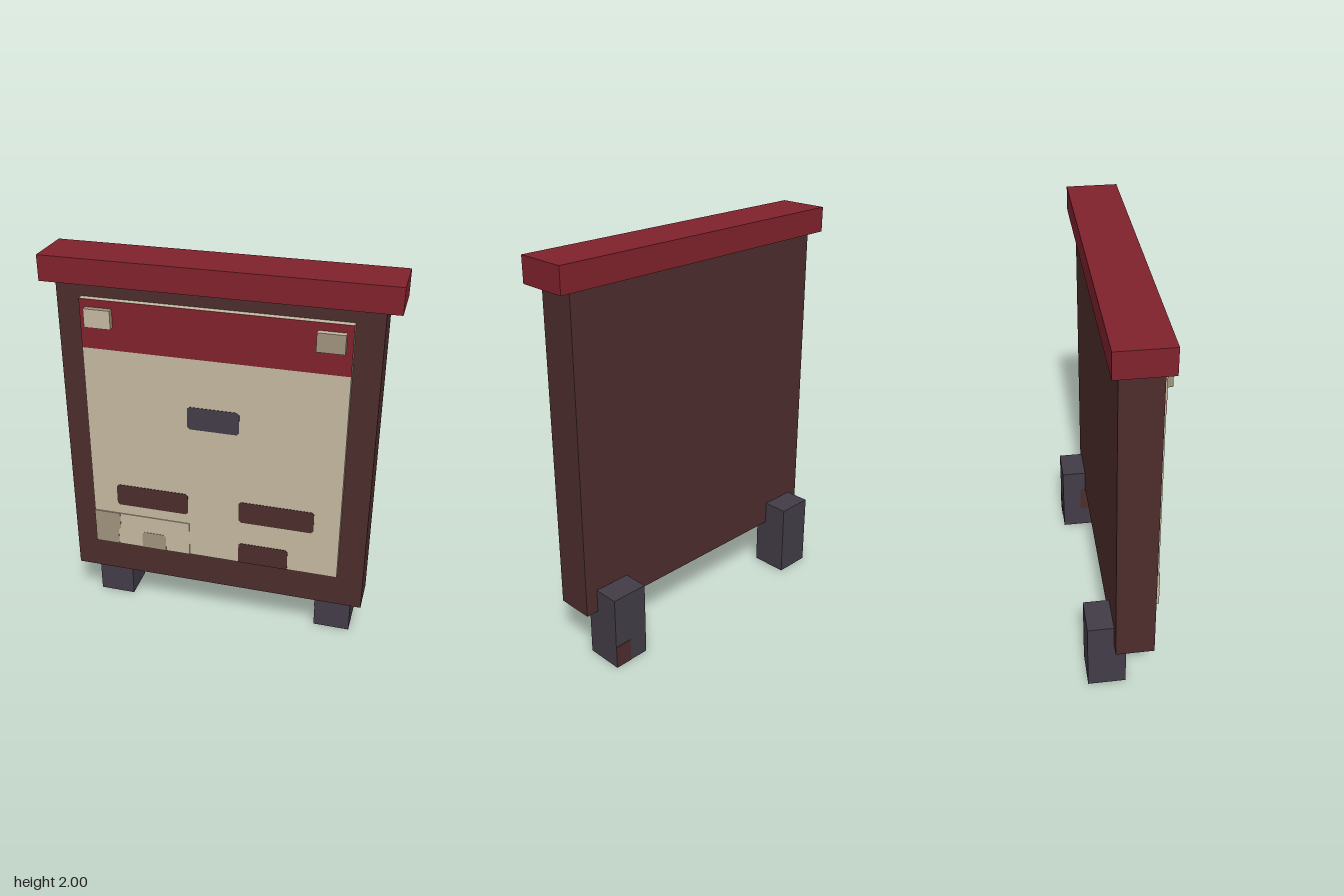
import * as THREE from 'three';

const mat = (name, color) => {
  const m = new THREE.MeshStandardMaterial({ color });
  m.name = name;
  return m;
};

export function createModel() {
  const red = mat('roof red', 0x80222d);
  const brown = mat('dark wood', 0x4d2d2c);
  const tan = mat('paper tan', 0xc4b8a0);
  const shade = mat('worn tan', 0xa0937c);
  const slate = mat('slate', 0x423c47);

  const model = new THREE.Group();
  model.name = 'noticeBoard';

  // Box given by its limits on each axis
  const box = (name, material, x0, x1, y0, y1, z0, z1) => {
    const mesh = new THREE.Mesh(new THREE.BoxGeometry(x1 - x0, y1 - y0, z1 - z0), material);
    mesh.position.set((x0 + x1) / 2, (y0 + y1) / 2, (z0 + z1) / 2);
    mesh.name = name;
    model.add(mesh);
    return mesh;
  };

  // Thin printed mark; top corners clipped by c, bottom ones by b
  const mark = (name, material, x0, x1, y0, y1, z, c = 0.012, b = c) => {
    const points = [
      [x0 + b, y0], [x1 - b, y0], [x1, y0 + b], [x1, y1 - c],
      [x1 - c, y1], [x0 + c, y1], [x0, y1 - c], [x0, y0 + b],
    ].map(([x, y]) => new THREE.Vector2(x, y));
    const geometry = new THREE.ExtrudeGeometry(new THREE.Shape(points), { depth: 0.002, bevelEnabled: false });
    const mesh = new THREE.Mesh(geometry, material);
    mesh.position.z = z;
    mesh.name = name;
    model.add(mesh);
  };

  // Frame, roof and paper panel
  box('frame', brown, -0.77, 0.77, 0.265, 1.875, -0.06, 0.13);
  box('roof', red, -0.84, 0.84, 1.875, 2, -0.095, 0.162);
  const face = 0.162;
  box('paper', tan, -0.645, 0.64, 0.455, 1.81, 0.13, face);
  box('headerBand', red, -0.645, 0.64, 1.565, 1.81, face, face + 0.002);

  // Pins at the top corners, worn on opposite faces
  box('leftPin', [shade, shade, shade, shade, tan, shade], -0.615, -0.485, 1.68, 1.772, face, 0.193);
  box('rightPin', [tan, tan, tan, tan, shade, tan], 0.48, 0.61, 1.68, 1.772, face, 0.193);

  // Printed marks
  mark('centreMark', slate, -0.13, 0.128, 1.195, 1.315, face);
  mark('textBarLeft', brown, -0.515, -0.135, 0.70, 0.82, face);
  mark('textBarRight', brown, 0.13, 0.51, 0.70, 0.82, face);
  mark('lowerMark', brown, 0.13, 0.385, 0.455, 0.572, face, 0.012, 0);

  // Extra slip at the lower corner with worn patches
  const slip = face + 0.004;
  box('slip', tan, -0.645, -0.13, 0.455, 0.645, face, slip);
  mark('slipPatchUpper', shade, -0.645, -0.505, 0.545, 0.645, slip, 0, 0.01);
  mark('slipPatchLower', shade, -0.645, -0.518, 0.455, 0.545, slip, 0);
  mark('slipPatchSmall', shade, -0.387, -0.258, 0.455, 0.55, slip, 0.012, 0);

  // Feet behind the frame
  box('rightFoot', slate, -0.71, -0.52, 0, 0.385, -0.19, 0);
  box('leftFoot', slate, 0.515, 0.705, 0, 0.385, -0.19, 0);

  // Brown patches on one foot
  box('footBackPatch', brown, 0.615, 0.705, 0, 0.12, -0.192, -0.19);
  box('footInnerPatch', brown, 0.513, 0.515, 0.12, 0.265, -0.09, 0);

  return model;
}
